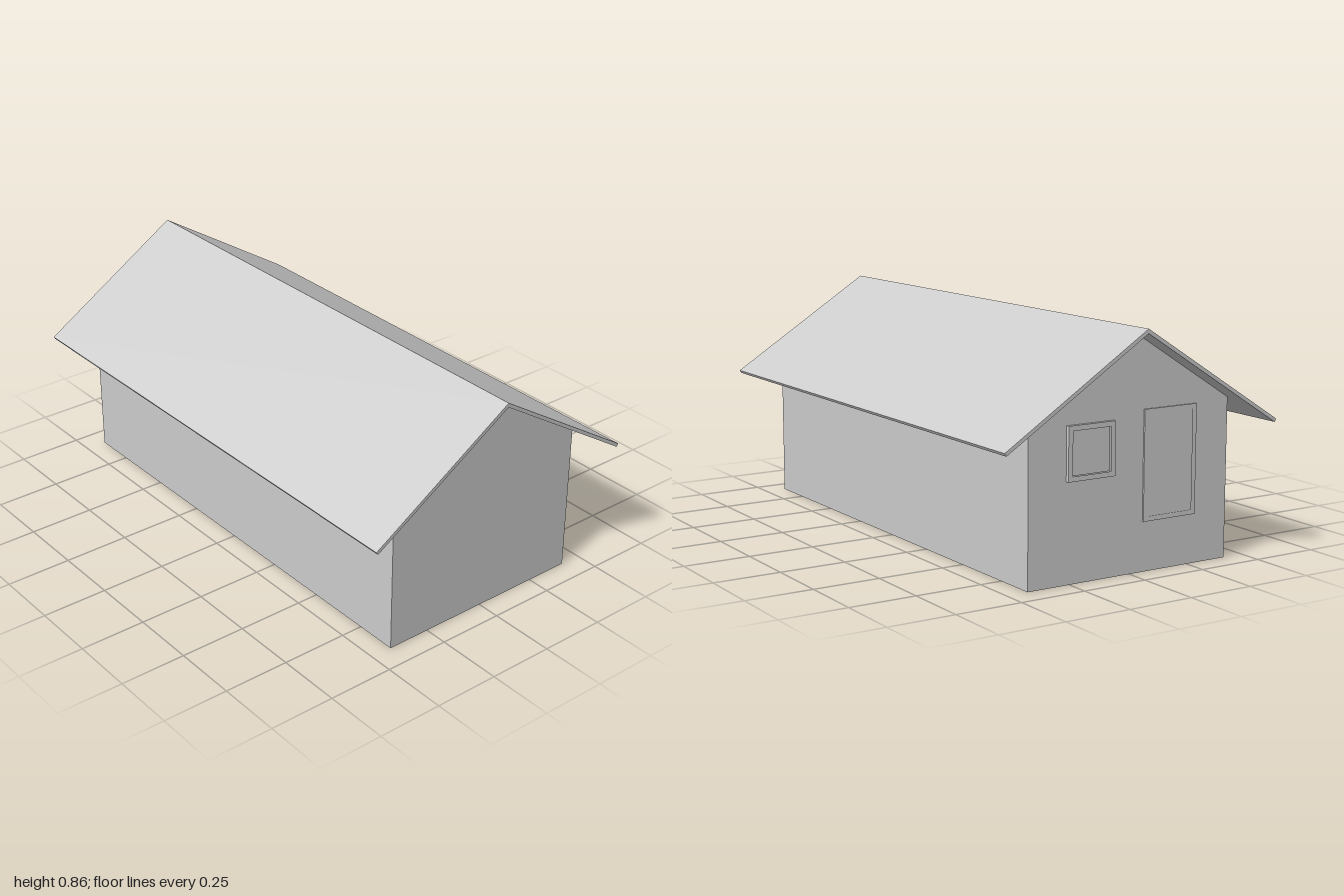
import * as THREE from 'three';

const grey = new THREE.MeshStandardMaterial({ color: 0xcccccc });
grey.name = 'plain grey';

// Outline given as [z, y] pairs, extruded along x from x0 to x1
function prism(name, points, x0, x1, hole) {
  const toShape = (pts) => pts.map(([z, y]) => new THREE.Vector2(-z, y));
  const shape = new THREE.Shape(toShape(points));
  if (hole) shape.holes.push(new THREE.Path(toShape(hole)));
  const geometry = new THREE.ExtrudeGeometry(shape, { depth: x1 - x0, bevelEnabled: false });
  geometry.rotateY(Math.PI / 2);
  geometry.translate(x0, 0, 0);
  const mesh = new THREE.Mesh(geometry, grey);
  mesh.name = name;
  return mesh;
}

const rect = (z0, z1, y0, y1, inset = 0) => [
  [z0 + inset, y0 + inset], [z1 - inset, y0 + inset],
  [z1 - inset, y1 - inset], [z0 + inset, y1 - inset],
];

// Raised frame around a slightly recessed panel on the -x gable
function framedOpening(name, z0, z1, y0, y1, border, frameOut, panelOut) {
  const group = new THREE.Group();
  group.name = name;
  const wall = -0.911;
  group.add(
    prism(name + 'Frame', rect(z0, z1, y0, y1), wall - frameOut, wall, rect(z0, z1, y0, y1, border)),
    prism(name + 'Panel', rect(z0, z1, y0, y1, border), wall - panelOut, wall),
  );
  return group;
}

export function createModel() {
  const model = new THREE.Group();
  model.name = 'gabledHouse';

  // Walls with pointed gables
  model.add(prism('walls', [
    [-0.418, 0], [0.418, 0], [0.418, 0.579], [0, 0.842], [-0.418, 0.579],
  ], -0.911, 0.911));

  // Thin overhanging roof, both slopes in one folded sheet
  model.add(prism('roof', [
    [0.567, 0.5], [0, 0.858], [-0.567, 0.5],
    [-0.56, 0.489], [0, 0.842], [0.56, 0.489],
  ], -1, 1));

  // Door and window on the left-hand gable in the front view
  model.add(framedOpening('door', 0.053, 0.277, 0.178, 0.57, 0.018, 0.006, 0.003));
  model.add(framedOpening('window', -0.266, -0.074, 0.355, 0.545, 0.018, 0.013, 0.004));

  return model;
}
